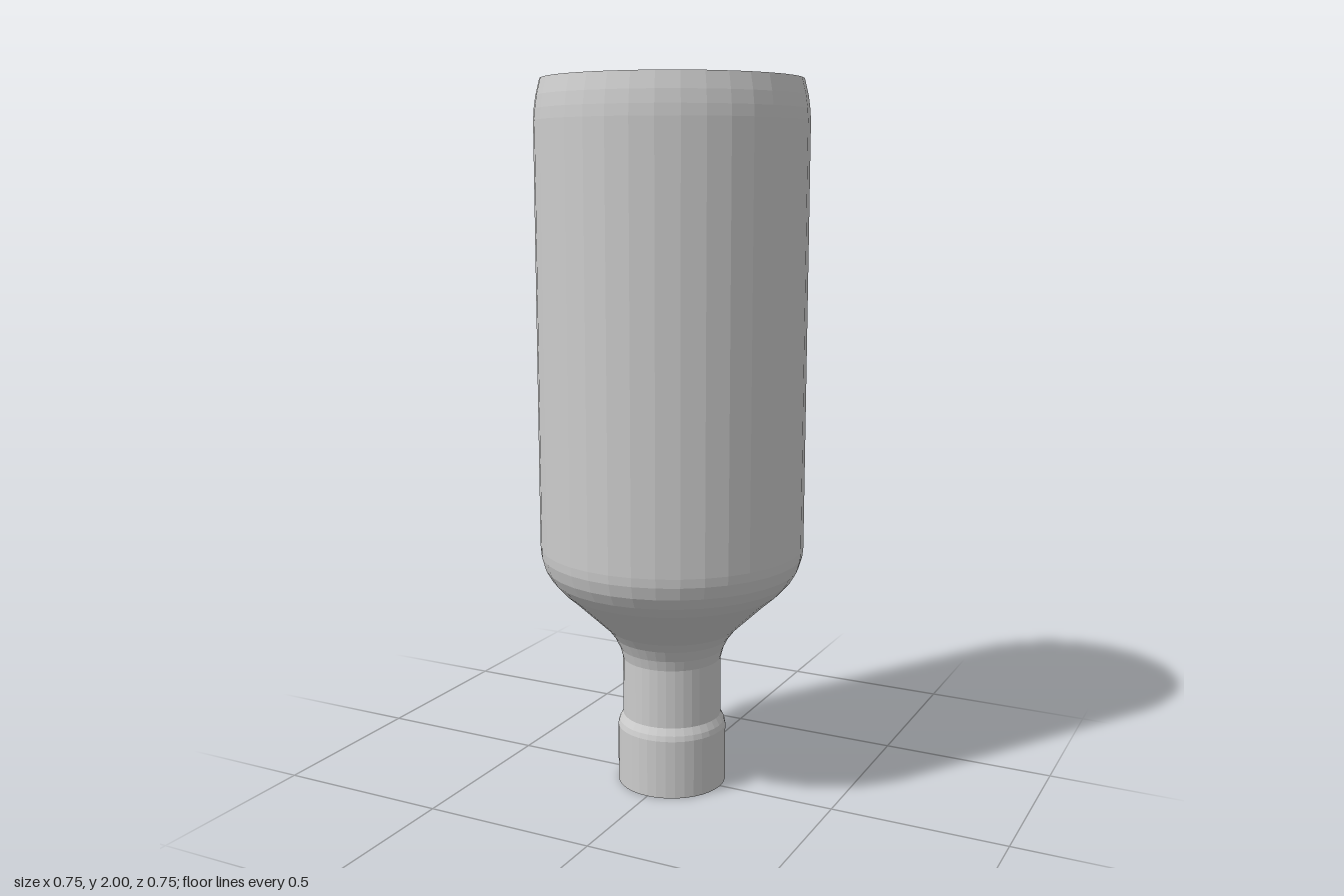
import * as THREE from 'three';

export function createModel() {
  const group = new THREE.Group();
  const grey = new THREE.MeshStandardMaterial({ color: 0xcccccc, flatShading: true });
  grey.name = 'grey';

  // Every part is turned around the y axis from [radius, height] points, bottom to top
  function turned(name, profile) {
    const points = profile.map(([r, y]) => new THREE.Vector2(r, y));
    const mesh = new THREE.Mesh(new THREE.LatheGeometry(points, 36), grey);
    mesh.name = name;
    group.add(mesh);
  }

  // Wide rim at the mouth, closed underneath and tapering in to the neck
  turned('mouthRim', [[0, 0], [0.157, 0], [0.157, 0.17], [0.153, 0.185], [0.142, 0.205]]);

  // Straight neck
  turned('neck', [[0.142, 0.205], [0.142, 0.375]]);

  // Flared shoulder, an S-curve from neck to body
  turned('shoulder', [
    [0.142, 0.375], [0.15, 0.405], [0.166, 0.438], [0.187, 0.466], [0.212, 0.49],
    [0.286, 0.56], [0.318, 0.588], [0.345, 0.619], [0.363, 0.65], [0.373, 0.685],
  ]);

  // Cylindrical body with a rounded edge and the flat base on top
  turned('body', [
    [0.373, 0.685], [0.375, 0.71], [0.375, 1.89], [0.373, 1.92],
    [0.368, 1.955], [0.357, 2], [0, 2],
  ]);

  return group;
}
